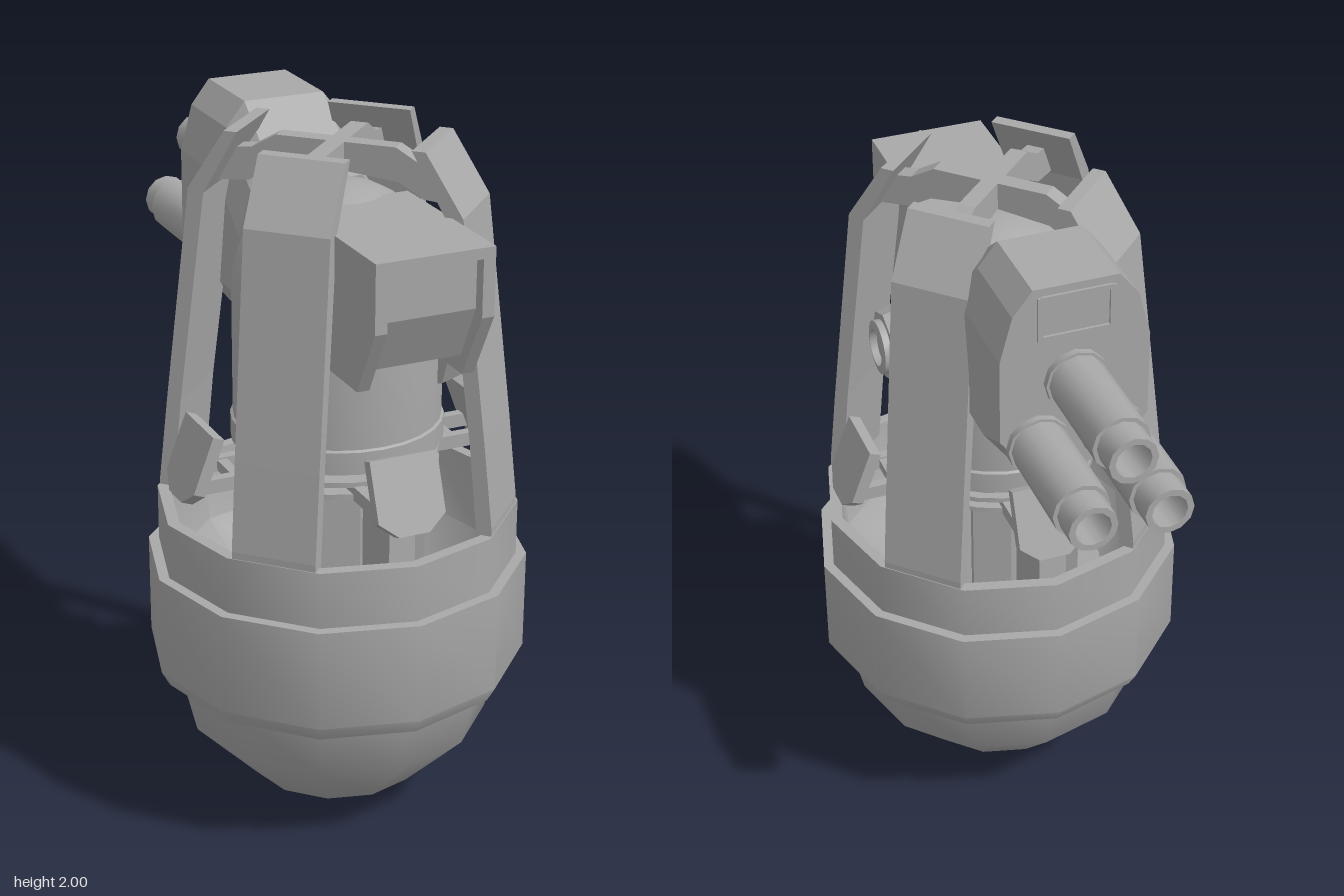
import * as THREE from 'three';
import { toCreasedNormals } from 'three/addons/utils/BufferGeometryUtils.js';

const metal = new THREE.MeshStandardMaterial({ color: 0xa8a8a8, side: THREE.DoubleSide });
metal.name = 'grey metal';

function add(parent, name, geometry, x = 0, y = 0, z = 0) {
  const mesh = new THREE.Mesh(geometry, metal);
  mesh.name = name;
  mesh.position.set(x, y, z);
  parent.add(mesh);
  return mesh;
}

const lathe = (pts, sides, crease = 0.6) =>
  toCreasedNormals(new THREE.LatheGeometry(pts.map(p => new THREE.Vector2(...p)), sides), crease);

// Extrudes an outline, centred on its thickness
function plate(pts, thickness) {
  const shape = new THREE.Shape(pts.map(p => new THREE.Vector2(...p)));
  return new THREE.ExtrudeGeometry(shape, { depth: thickness, bevelEnabled: false })
    .translate(0, 0, -thickness / 2);
}
// Same, with the outline given as (z, y) and the thickness along x
const sidePlate = (pts, thickness) => plate(pts, thickness).rotateY(-Math.PI / 2);

// Joins equal-sized cross-sections placed along z, with flat facets
function loft(rings) {
  const n = rings[0].length, last = rings.length - 1, index = [];
  for (let i = 0; i < last; i++) for (let j = 0; j < n; j++) {
    const k = (j + 1) % n, a = i * n + j, b = i * n + k;
    index.push(a, b, b + n, a, b + n, a + n);
  }
  for (let j = 1; j < n - 1; j++) {
    index.push(0, j + 1, j);
    index.push(last * n, last * n + j, last * n + j + 1);
  }
  const g = new THREE.BufferGeometry();
  g.setAttribute('position', new THREE.Float32BufferAttribute(rings.flat(2), 3));
  g.setIndex(index);
  const flat = g.toNonIndexed();
  flat.computeVertexNormals();
  return flat;
}

export function createModel() {
  const model = new THREE.Group();
  model.name = 'gunTurret';

  // Everything round is centred on the turret axis
  const turret = new THREE.Group();
  turret.name = 'turret';
  turret.position.z = 0.22;
  model.add(turret);

  // Round lower shell and its stepped, hollow collar
  add(turret, 'lowerShell', lathe([[0, 0], [0.255, 0.07], [0.44, 0.26], [0.482, 0.43]], 12, 1));
  add(turret, 'collar', lathe([[0.48, 0.425], [0.52, 0.425], [0.545, 0.47], [0.545, 0.765],
    [0.515, 0.765], [0.515, 0.93], [0.48, 0.93], [0.46, 0.72], [0.34, 0.58], [0, 0.52]], 12));

  // Pedestal with thin bearing discs and surrounding blocks
  add(turret, 'pedestal', new THREE.CylinderGeometry(0.1, 0.1, 0.65, 16), 0, 0.83, 0);
  for (const y of [1.05, 1.085]) {
    add(turret, 'bearingDisc', new THREE.CylinderGeometry(0.29, 0.29, 0.015, 24), 0, y, 0);
  }
  for (let i = 0; i < 8; i++) {
    const a = (i + 0.5) * Math.PI / 4;
    add(turret, 'pedestalBlock', new THREE.BoxGeometry(0.11, 0.47, 0.1),
      0.2 * Math.sin(a), 0.81, 0.2 * Math.cos(a)).rotation.y = a;
  }

  // Domed body
  const dome = [[0, 1.12], [0.3, 1.12], [0.3, 1.185], [0.293, 1.19], [0.293, 1.56]];
  for (let i = 1; i <= 8; i++) {
    const a = i * Math.PI / 16;
    dome.push([0.293 * Math.cos(a), 1.56 + 0.3 * Math.sin(a)]);
  }
  add(turret, 'domedBody', lathe(dome, 28));

  // Side hatches with raised rings
  for (const s of [-1, 1]) {
    const hatch = new THREE.Group();
    hatch.name = 'sideHatch';
    hatch.position.set(s * 0.25, 1.405, 0.14);
    hatch.rotation.z = -s * Math.PI / 2;
    turret.add(hatch);
    add(hatch, 'hatchPlate', new THREE.CylinderGeometry(0.105, 0.125, 0.08, 8).toNonIndexed())
      .geometry.computeVertexNormals();
    add(hatch, 'hatchRing', lathe([[0.08, 0], [0.08, 0.06], [0.055, 0.065], [0.05, 0.045], [0, 0.045]], 20));
  }

  // Four bent cage struts on the diagonals, joined by crossing roof bars
  const strut = sidePlate([[0.495, 0.9], [0.495, 0.95], [0.467, 1.2], [0.39, 1.83], [0.283, 2],
    [0.245, 2], [0.345, 1.82], [0.425, 1.2], [0.455, 0.9]], 0.24);
  const bar = sidePlate([[-0.02, 1.975], [0.17, 1.975], [0.24, 1.935], [0.32, 1.925], [0.355, 1.83],
    [0.25, 1.84], [0.18, 1.88], [-0.02, 1.9]], 0.05);
  for (let i = 0; i < 4; i++) {
    const a = (i + 0.5) * Math.PI / 2;
    add(turret, 'cageStrut', strut).rotation.y = a;
    add(turret, 'roofBar', bar).rotation.y = a;
  }

  // Four tilted paddles on twin arms
  const paddle = plate([[-0.1, 0.1], [-0.1, -0.07], [-0.045, -0.115], [0.045, -0.115], [0.1, -0.07],
    [0.1, 0.1]], 0.035).rotateX(-0.36);
  for (let i = 0; i < 4; i++) {
    const arm = new THREE.Group();
    arm.name = 'paddleArm';
    arm.rotation.y = i * Math.PI / 2;
    turret.add(arm);
    add(arm, 'paddle', paddle, 0, 1.115, 0.435);
    for (const s of [-1, 1]) {
      add(arm, 'armRod', new THREE.BoxGeometry(0.03, 0.04, 0.24), s * 0.065, 1.06, 0.33);
    }
    add(arm, 'armPivot', new THREE.BoxGeometry(0.16, 0.03, 0.03), 0, 1.06, 0.33);
  }

  // Front sensor box: two cheeks, a lid and a recessed face
  const sensor = new THREE.Group();
  sensor.name = 'sensorBox';
  model.add(sensor);
  for (const s of [-1, 1]) {
    add(sensor, 'sensorCheek', sidePlate([[0.3, 1.83], [0.3, 1.45], [0.7, 1.45], [0.8, 1.64], [0.8, 1.83]],
      0.035), s * 0.152, 0, 0);
  }
  add(sensor, 'sensorLid', new THREE.BoxGeometry(0.3, 0.03, 0.5), 0, 1.815, 0.55);
  add(sensor, 'sensorFace', sidePlate([[0.3, 1.81], [0.3, 1.5], [0.69, 1.5], [0.765, 1.655], [0.765, 1.81]], 0.28));

  // Rear gun housing, narrowing into the dome
  const sections = [[-0.4, 1.43, 2], [-0.27, 1.37, 2], [-0.14, 1.37, 2], [0.02, 1.37, 1.87], [0.12, 1.4, 1.83]];
  add(model, 'gunHousing', loft(sections.map(([z, low, top]) => {
    const half = [[0.12, low], [0.21, low + 0.12], [0.21, top - 0.2], [0.175, top - 0.07], [0.12, top]];
    const mirrored = half.map(([x, y]) => [-x, y]).reverse();
    return [...half, ...mirrored].map(([x, y]) => [x, y, z]);
  })));

  // Raised window frame on the back of the housing
  for (const s of [-1, 1]) {
    add(model, 'rearFrameSide', new THREE.BoxGeometry(0.015, 0.13, 0.016), s * 0.1, 1.91, -0.4);
    add(model, 'rearFrameRail', new THREE.BoxGeometry(0.2, 0.015, 0.016), 0, 1.91 + s * 0.06, -0.4);
  }

  // Three hollow barrels, one above two
  const barrel = lathe([[0.088, 0], [0.088, 0.04], [0.08, 0.04], [0.08, 0.34], [0.068, 0.34], [0.068, 0.42],
    [0.05, 0.42], [0.05, 0.15], [0, 0.15]], 12, 0.7).rotateX(-Math.PI / 2);
  for (const [x, y] of [[0, 1.71], [-0.105, 1.525], [0.105, 1.525]]) {
    add(model, 'gunBarrel', barrel, x, y, -0.38);
  }
  return model;
}
